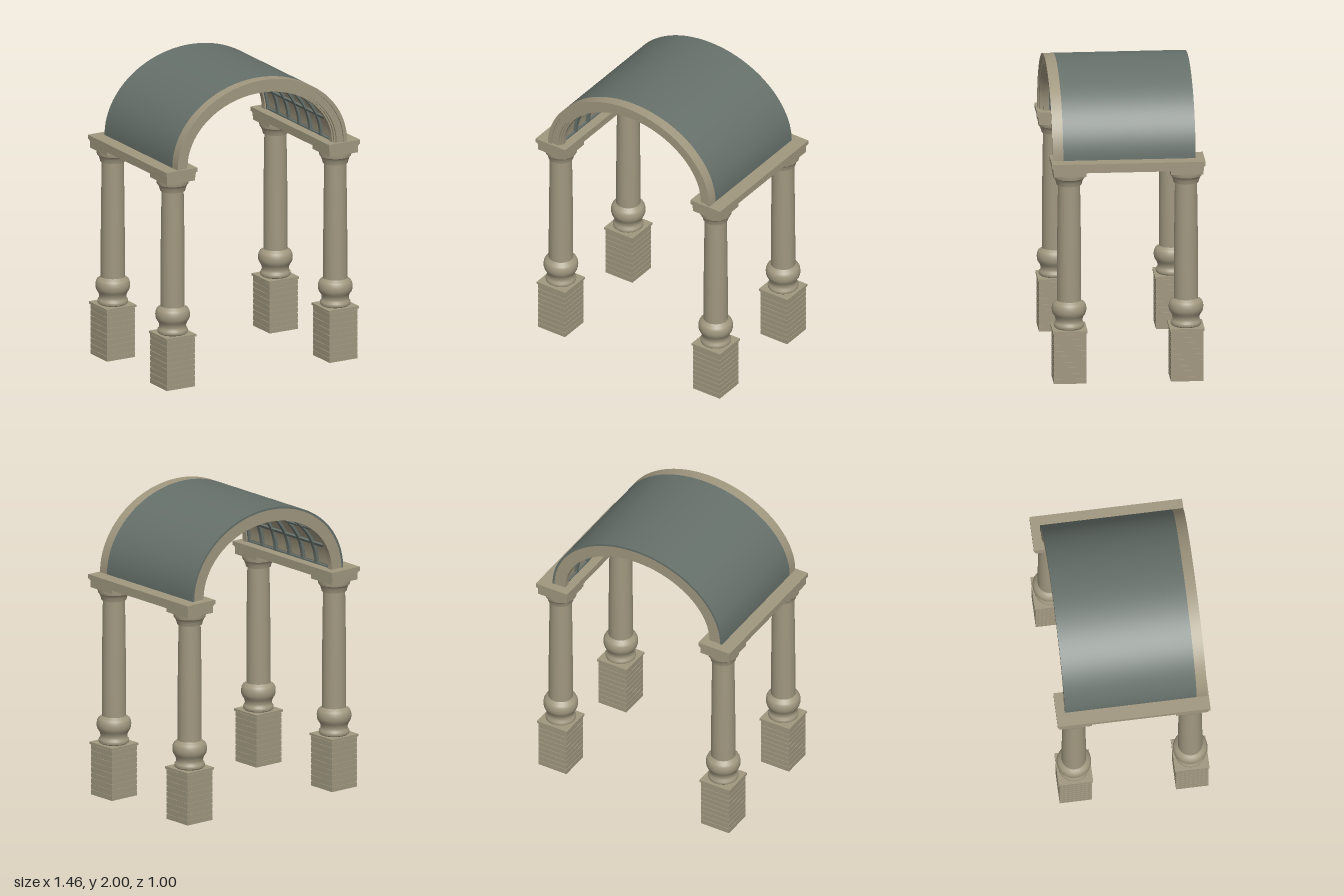
import * as THREE from 'three';
import { toCreasedNormals } from 'three/addons/utils/BufferGeometryUtils.js';

const stone = new THREE.MeshStandardMaterial({ color: 0xa0977f });
stone.name = 'warm stone';
const slate = new THREE.MeshStandardMaterial({ color: 0x66706a });
slate.name = 'grey green slate';

const SPRING = 1.485, RX = 0.64, RY = 0.515;

function add(parent, name, geometry, material, x = 0, y = 0, z = 0) {
  const mesh = new THREE.Mesh(geometry, material);
  mesh.name = name;
  mesh.position.set(x, y, z);
  parent.add(mesh);
  return mesh;
}

// Box given by its size and the height of its underside
function slab(parent, name, w, y0, y1, d, x = 0, z = 0) {
  add(parent, name, new THREE.BoxGeometry(w, y1 - y0, d), stone, x, (y0 + y1) / 2, z);
}

// Curved block of the vault between two depths below its outer ellipse
function archBlock(d0, d1, z0, z1, t0 = 0, t1 = Math.PI) {
  const n = Math.max(3, Math.round((t1 - t0) / Math.PI * 56));
  const pts = [];
  const point = (d, t) => new THREE.Vector2(
    (RX - d) * Math.cos(t), SPRING + (RY - d) * Math.sin(t));
  for (let i = 0; i <= n; i++) pts.push(point(d0, t0 + (t1 - t0) * i / n));
  for (let i = n; i >= 0; i--) pts.push(point(d1, t0 + (t1 - t0) * i / n));
  const g = new THREE.ExtrudeGeometry(new THREE.Shape(pts), { depth: z1 - z0, bevelEnabled: false });
  g.translate(0, 0, z0);
  return toCreasedNormals(g, 0.5);
}

function turned(points) {
  const g = new THREE.LatheGeometry(points.map(([r, y]) => new THREE.Vector2(r, y)), 40);
  return toCreasedNormals(g, 0.6);
}

function makeColumn(x, z) {
  const column = new THREE.Group();
  column.name = 'column';
  column.position.set(x, 0, z);

  // Coursed pedestal with narrow recessed joints
  const courses = 9, h = 0.34 / courses;
  slab(column, 'pedestalCore', 0.204, 0.002, 0.34, 0.204);
  for (let i = 0; i < courses; i++)
    slab(column, 'pedestalCourse', 0.212, i * h, (i + 1) * h - 0.005, 0.212);
  slab(column, 'pedestalCap', 0.226, 0.34, 0.355, 0.226);

  // Turned base, tapering shaft and flared capital
  add(column, 'columnBase', turned([
    [0.09, 0.355], [0.098, 0.362], [0.1, 0.372], [0.098, 0.382], [0.09, 0.392],
    [0.088, 0.405], [0.09, 0.42], [0.098, 0.437], [0.107, 0.45], [0.112, 0.467],
    [0.113, 0.485], [0.11, 0.505], [0.103, 0.52], [0.09, 0.53], [0.08, 0.54]]), stone);
  add(column, 'shaft', turned([
    [0.079, 0.53], [0.079, 0.75], [0.077, 1.0], [0.074, 1.2], [0.072, 1.33]]), stone);
  add(column, 'capital', turned([
    [0.07, 1.322], [0.082, 1.322], [0.084, 1.332], [0.09, 1.35], [0.096, 1.365],
    [0.103, 1.37], [0.106, 1.385], [0.106, 1.4]]), stone);
  slab(column, 'abacus', 0.214, 1.398, 1.43, 0.214);
  return column;
}

export function createModel() {
  const model = new THREE.Group();
  model.name = 'vaultedPavilion';

  for (const sx of [-1, 1]) {
    for (const sz of [-1, 1]) model.add(makeColumn(sx * 0.614, sz * 0.381));
    // Stepped beam joining each pair of columns
    const beam = new THREE.Group();
    beam.name = 'beam';
    slab(beam, 'beamLower', 0.214, 1.422, 1.447, 0.98, sx * 0.614);
    slab(beam, 'beamMiddle', 0.222, 1.447, 1.457, 0.988, sx * 0.614);
    slab(beam, 'beamCornice', 0.236, 1.457, SPRING, 1.0, sx * 0.614);
    model.add(beam);
  }

  // Roof skin and the coffered ceiling beneath it
  const vault = new THREE.Group();
  vault.name = 'vault';
  model.add(vault);
  add(vault, 'roof', archBlock(0, 0.014, -0.442, 0.42), slate);
  add(vault, 'rearArch', archBlock(0.014, 0.095, -0.44, -0.4), stone);
  add(vault, 'ceilingBacking', archBlock(0.014, 0.066, -0.4, 0.42), slate);

  const rows = 9, cols = 6, z0 = -0.4, dz = 0.82 / cols, dt = Math.PI / rows;
  for (let c = 0; c <= cols; c++) {
    const z = z0 + c * dz;
    add(vault, 'crossRib', archBlock(0.066, 0.085,
      Math.max(z - 0.013, z0), Math.min(z + 0.013, 0.42)), slate);
  }
  for (let r = 0; r <= rows; r++) {
    const t = r * dt;
    add(vault, 'longRib', archBlock(0.066, 0.083, z0, 0.42,
      Math.max(t - 0.022, 0), Math.min(t + 0.022, Math.PI)), slate);
    if (r === rows) continue;
    for (let c = 0; c < cols; c++) {
      const z = z0 + c * dz;
      add(vault, 'cofferPanel', archBlock(0.066, 0.071,
        z + 0.02, z + dz - 0.02, t + 0.036, t + dt - 0.036), stone);
    }
  }

  // Front arch moulding, stepping back towards the opening
  const frontArch = new THREE.Group();
  frontArch.name = 'frontArch';
  model.add(frontArch);
  const bands = [[0, 0.026, 0.49], [0.026, 0.074, 0.48], [0.074, 0.085, 0.468], [0.085, 0.095, 0.456]];
  for (const [a, b, z] of bands) add(frontArch, 'archBand', archBlock(a, b, 0.42, z), stone);

  return model;
}
